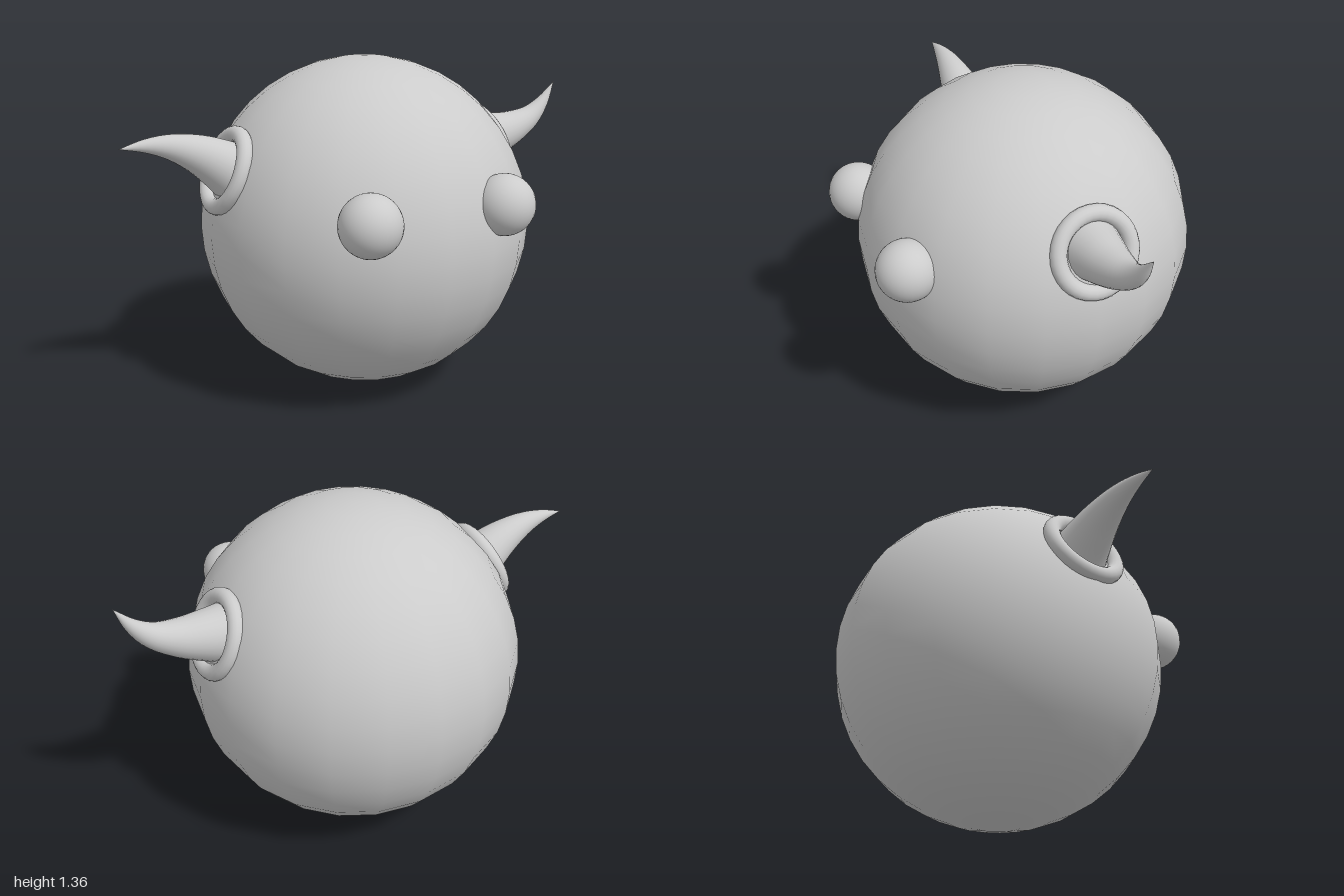
import * as THREE from 'three';
import { mergeVertices } from 'three/addons/utils/BufferGeometryUtils.js';

const Z = -0.03; // depth of the horns and their collars

// Tapered cone whose axis follows a curve in the xy plane
function hornGeometry(points, baseRadius) {
  const curve = new THREE.CatmullRomCurve3(points.map(([x, y]) => new THREE.Vector3(x, y, Z)));
  const geo = new THREE.CylinderGeometry(1, 1, 1, 24, 20, true);
  const pos = geo.attributes.position;
  for (let i = 0; i < pos.count; i++) {
    const t = THREE.MathUtils.clamp(pos.getY(i) + 0.5, 0, 1);
    const p = curve.getPointAt(t), d = curve.getTangentAt(t);
    const r = Math.max(baseRadius * Math.pow(1 - t, 0.95), 0.0005);
    const a = pos.getX(i) * r, b = pos.getZ(i) * r;
    pos.setXYZ(i, p.x + d.y * a, p.y - d.x * a, p.z + b);
  }
  geo.deleteAttribute('uv');
  geo.deleteAttribute('normal');
  const smooth = mergeVertices(geo, 1e-5);
  smooth.computeVertexNormals();
  return smooth;
}

export function createModel() {
  const group = new THREE.Group();
  const material = new THREE.MeshStandardMaterial({ color: 0xcccccc });
  const add = (name, geometry, x = 0, y = 0, z = 0) => {
    const mesh = new THREE.Mesh(geometry, material);
    mesh.name = name;
    mesh.position.set(x, y, z);
    group.add(mesh);
    return mesh;
  };

  // Round body
  add('body', new THREE.SphereGeometry(0.68, 20, 20), 0.02, 0.683, -0.022);

  // Bulging eyes
  const eye = new THREE.SphereGeometry(0.12, 32, 24);
  add('leftEye', eye, 0.3, 0.855, 0.58);
  add('rightEye', eye, -0.28, 0.855, 0.58);

  // Collars around the horn roots, tilted to lie on the body
  const collar = new THREE.TorusGeometry(0.147, 0.033, 16, 32);
  const tilt = THREE.MathUtils.degToRad(23);
  for (const [name, side, x] of [['leftCollar', 1, 0.615], ['rightCollar', -1, -0.586]]) {
    const axis = new THREE.Vector3(side * Math.cos(tilt), Math.sin(tilt), 0);
    add(name, collar, x, 0.959, Z).quaternion.setFromUnitVectors(new THREE.Vector3(0, 0, 1), axis);
  }

  // Horns: one sweeps upward, the other bends over
  add('leftHorn', hornGeometry(
    [[0.57, 0.955], [0.65, 0.967], [0.76, 0.99], [0.86, 1.03], [0.93, 1.09], [0.993, 1.18]], 0.122));
  add('rightHorn', hornGeometry(
    [[-0.53, 0.93], [-0.6, 0.98], [-0.69, 1.033], [-0.8, 1.075], [-0.9, 1.09], [-1, 1.088]], 0.122));

  return group;
}
